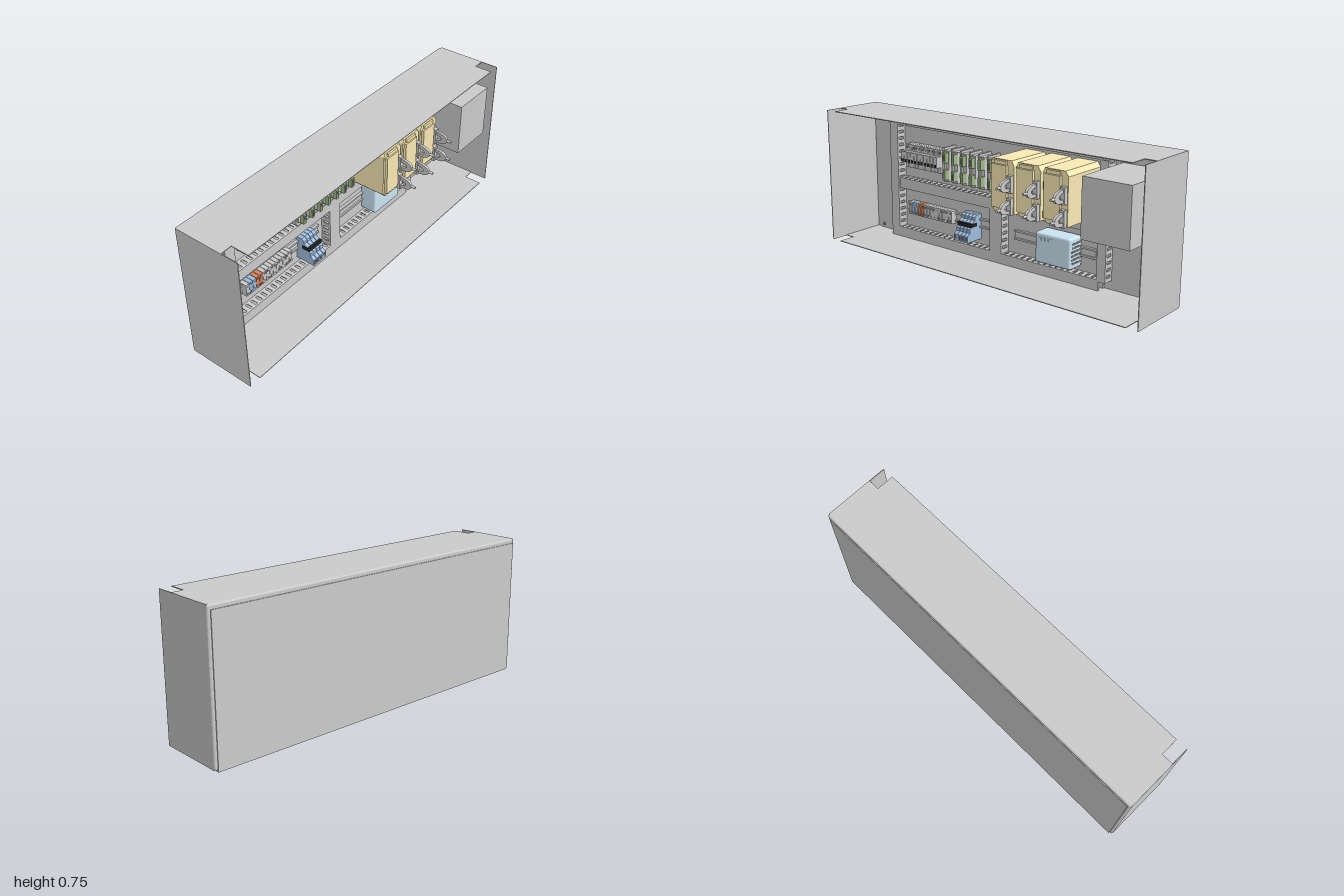
import * as THREE from 'three';
import { mergeGeometries } from 'three/addons/utils/BufferGeometryUtils.js';
import { RoundedBoxGeometry } from 'three/addons/geometries/RoundedBoxGeometry.js';

const mat = (color) => new THREE.MeshStandardMaterial({ color, flatShading: true });
const GREY = mat(0xcccccc), CREAM = mat(0xfbebb5), ICE = mat(0xcce6f5), GREEN = mat(0x9dba84);
const ORANGE = mat(0xd8845c), BLUE = mat(0xa0bfe0), BLACK = mat(0x222222), DARK = mat(0x777777);
const PLATE = -0.168; // front of the mounting plate

// box geometry from its limits
function bg(x0, x1, y0, y1, z0, z1) {
  return new THREE.BoxGeometry(x1 - x0, y1 - y0, z1 - z0)
    .translate((x0 + x1) / 2, (y0 + y1) / 2, (z0 + z1) / 2);
}

export function createModel() {
  const root = new THREE.Group();
  root.name = 'controlCabinet';
  const add = (name, geo, m = GREY, parent = root) => {
    const mesh = new THREE.Mesh(Array.isArray(geo) ? mergeGeometries(geo) : geo, m);
    mesh.name = name;
    parent.add(mesh);
    return mesh;
  };
  const group = (name) => {
    const g = new THREE.Group();
    g.name = name;
    root.add(g);
    return g;
  };
  // profile in (z, y), extruded along x
  const profileX = (pts, x0, x1) =>
    new THREE.ExtrudeGeometry(new THREE.Shape(pts.map(([z, y]) => new THREE.Vector2(-z, y))),
      { depth: x1 - x0, bevelEnabled: false }).rotateY(Math.PI / 2).translate(x0, 0, 0);
  // outline in (x, y), extruded along z
  const profileZ = (pts, z0, z1) =>
    new THREE.ExtrudeGeometry(new THREE.Shape(pts.map((p) => new THREE.Vector2(...p))),
      { depth: z1 - z0, bevelEnabled: false }).translate(0, 0, z0);

  // sheet-metal shell, open to the front, with notched top and bottom
  add('backWall', new RoundedBoxGeometry(2, 0.74, 0.02, 3, 0.0095).translate(0, 0.38, -0.183));
  for (const s of [-1, 1])
    add(s > 0 ? 'leftWall' : 'rightWall', bg(s > 0 ? 0.996 : -1, s > 0 ? 1 : -0.996, 0.01, 0.75, -0.183, 0.175));
  const sheet = [[-1, -0.183], [1, -0.183], [1, 0.08], [0.937, 0.08], [0.937, 0.175],
    [-0.937, 0.175], [-0.937, 0.08], [-1, 0.08]];
  for (const [name, y] of [['topSheet', 0.75], ['bottomSheet', 0.014]])
    add(name, profileZ(sheet, 0, 0.004).rotateX(Math.PI / 2).translate(0, y, 0));

  // rear cover and its lower hook
  add('rearCover', bg(-0.985, 0.985, 0.003, 0.727, -0.197, -0.19));
  add('rearCoverLip', bg(-0.985, 0.985, 0.002, 0.008, -0.197, -0.178));

  // vent hoods under the floor
  const vents = [];
  for (let i = 0; i < 25; i++)
    vents.push(new THREE.BoxGeometry(0.026, 0.004, 0.058).rotateZ(0.06)
      .translate(-0.79 + i * 0.0567, 0.0095, -0.145));
  add('ventHoods', vents);

  // mounting plate with corner screws
  add('mountingPlate', bg(-0.97, 0.99, 0.014, 0.73, -0.175, PLATE));
  for (const x of [-0.94, 0.95])
    for (const y of [0.035, 0.695])
      add('plateScrew', new THREE.CylinderGeometry(0.009, 0.009, 0.006, 16).rotateX(Math.PI / 2)
        .translate(x, y, PLATE + 0.003), DARK);

  // slotted wiring ducts: floor, lid and a row of fingers on both long sides
  const duct = (x0, x1, y0, y1, z1 = -0.11) => {
    const parts = [bg(x0, x1, y0, y1, PLATE, PLATE + 0.012), bg(x0, x1, y0, y1, z1 - 0.012, z1)];
    const along = x1 - x0 > y1 - y0;
    const len = along ? x1 - x0 : y1 - y0;
    const n = Math.round(len / 0.036);
    for (let i = 0; i < n; i++) {
      const a = (along ? x0 : y0) + (i * len) / n, b = a + (len / n) * 0.6;
      for (const s of [0, 1]) {
        const c = along ? (s ? y1 - 0.004 : y0) : (s ? x1 - 0.004 : x0);
        parts.push(along ? bg(a, b, c, c + 0.004, PLATE, z1 - 0.005) : bg(c, c + 0.004, a, b, PLATE, z1 - 0.005));
      }
    }
    add('wiringDuct', parts);
  };
  duct(-0.81, 0.6, 0.66, 0.72);
  duct(-0.81, 0.6, 0.014, 0.07);
  duct(-0.81, -0.75, 0.07, 0.66);
  duct(0.59, 0.64, 0.06, 0.66);
  duct(-0.74, 0.535, 0.3, 0.36);
  duct(-0.08, 0, 0.07, 0.3);

  // mounting rails
  for (const [x0, x1, y] of [[-0.72, 0.57, 0.497], [-0.72, -0.12, 0.19], [0.05, 0.55, 0.175]])
    add('mountingRail', [bg(x0, x1, y - 0.022, y + 0.022, PLATE, PLATE + 0.006),
      bg(x0, x1, y - 0.026, y - 0.016, PLATE, PLATE + 0.015), bg(x0, x1, y + 0.016, y + 0.026, PLATE, PLATE + 0.015)]);

  // upper row of stepped terminals
  const step = [[PLATE, 0.43], [-0.11, 0.43], [-0.11, 0.465], [-0.075, 0.465], [-0.075, 0.525],
    [-0.11, 0.525], [-0.11, 0.56], [PLATE, 0.56]];
  const upper = group('upperTerminals');
  for (let i = 0; i < 11; i++) {
    const x = -0.69 + i * 0.0246;
    add('terminal', profileX(step, x, x + 0.022), GREY, upper);
    add('terminalSlot', bg(x + 0.004, x + 0.018, 0.469, 0.484, -0.075, -0.073), BLACK, upper);
    add('terminalScrew', bg(x + 0.006, x + 0.016, 0.537, 0.549, -0.11, -0.108), DARK, upper);
  }

  // relay modules with green plugs
  const relay = group('relayModules');
  for (let i = 0; i < 7; i++) {
    const x = -0.375 + i * 0.0617;
    add('relayBody', profileZ([[x, 0.415], [x + 0.008, 0.415], [x + 0.008, 0.405], [x + 0.044, 0.405],
      [x + 0.044, 0.575], [x + 0.012, 0.575], [x + 0.012, 0.588], [x, 0.588]], PLATE, -0.075), GREY, relay);
    add('relayRib', bg(x + 0.008, x + 0.022, 0.43, 0.57, -0.075, -0.065), GREY, relay);
    for (const y of [0.42, 0.512]) {
      add('relayPlug', bg(x + 0.024, x + 0.043, y, y + 0.055, -0.075, -0.045), GREEN, relay);
      add('relayPlugSlot', bg(x + 0.03, x + 0.037, y + 0.01, y + 0.045, -0.045, -0.043), DARK, relay);
    }
  }

  // three cream switching units with curved levers and pegs
  const units = group('switchingUnits');
  for (let i = 0; i < 3; i++) {
    const x = 0.1 + i * 0.157;
    add('unitBody', profileZ([[x, 0.39], [x + 0.012, 0.39], [x + 0.02, 0.37], [x + 0.142, 0.37],
      [x + 0.142, 0.61], [x + 0.126, 0.635], [x + 0.01, 0.635], [x, 0.615]], PLATE, 0.09), CREAM, units);
    add('unitFace', bg(x + 0.012, x + 0.105, 0.395, 0.61, 0.09, 0.105), CREAM, units);
    add('unitLabelRidge', bg(x + 0.025, x + 0.1, 0.612, 0.63, 0.09, 0.1), CREAM, units);
    for (const y of [0.41, 0.52]) {
      add('leverBase', bg(x + 0.112, x + 0.138, y - 0.04, y + 0.045, 0.09, 0.112), GREY, units);
      // lever in (z, y)
      const arm = new THREE.Shape();
      arm.moveTo(-0.1, y - 0.03);
      arm.quadraticCurveTo(-0.175, y - 0.035, -0.178, y);
      arm.quadraticCurveTo(-0.175, y + 0.035, -0.1, y + 0.035);
      arm.lineTo(-0.1, y + 0.018);
      arm.quadraticCurveTo(-0.145, y + 0.015, -0.145, y);
      arm.quadraticCurveTo(-0.145, y - 0.015, -0.1, y - 0.015);
      add('lever', new THREE.ExtrudeGeometry(arm, { depth: 0.014, bevelEnabled: false, curveSegments: 6 })
        .rotateY(Math.PI / 2).translate(x + 0.118, 0, 0), GREY, units);
      add('leverPeg', new THREE.CylinderGeometry(0.007, 0.007, 0.03, 12).rotateX(Math.PI / 2)
        .translate(x + 0.125, y, 0.185), GREY, units);
    }
  }

  // lower row of coloured terminals
  const lower = group('lowerTerminals');
  for (let i = 0; i < 14; i++) {
    const x = -0.69 + i * 0.0236;
    const m = i < 1 ? GREY : i < 3 ? BLUE : i < 5 ? ORANGE : GREY;
    add('clampTerminal', bg(x, x + 0.0215, 0.155, 0.225, PLATE, -0.125), m, lower);
    for (const y of [0.163, 0.207])
      add('clampHole', bg(x + 0.006, x + 0.016, y, y + 0.01, -0.125, -0.124), DARK, lower);
  }

  // small blue stair-shaped terminal block
  const stairs = [[PLATE, 0.1], [-0.055, 0.1], [-0.055, 0.135], [-0.075, 0.15], [-0.075, 0.17],
    [-0.095, 0.182], [-0.095, 0.2], [-0.115, 0.212], [-0.115, 0.228], [-0.13, 0.24], [PLATE, 0.24]];
  const stair = group('stairTerminals');
  for (let i = 0; i < 4; i++) {
    const x = -0.28 + i * 0.0243;
    add('stairTerminal', profileX(stairs, x, x + 0.022), BLUE, stair);
    add('stairInset', bg(x + 0.005, x + 0.017, 0.11, 0.128, -0.055, -0.053), DARK, stair);
  }
  add('stairBand', bg(-0.281, -0.184, 0.178, 0.198, -0.13, -0.082), BLACK, stair);

  // pale blue power supply with rounded corners
  const supply = group('powerSupply');
  add('supplyBody', new RoundedBoxGeometry(0.215, 0.16, 0.1, 3, 0.012).translate(0.358, 0.175, -0.118), ICE, supply);
  for (let i = 0; i < 4; i++)
    add('supplyTerminal', bg(0.275 + i * 0.022, 0.29 + i * 0.022, 0.215, 0.232, -0.068, -0.066), ICE, supply);
  for (let i = 0; i < 6; i++)
    add('supplyVent', bg(0.465, 0.467, 0.12 + i * 0.02, 0.13 + i * 0.02, -0.155, -0.08), DARK, supply);

  // tall plain housing on the left
  add('sideHousing', bg(0.68, 0.935, 0.36, 0.65, PLATE, 0.165));
  return root;
}
